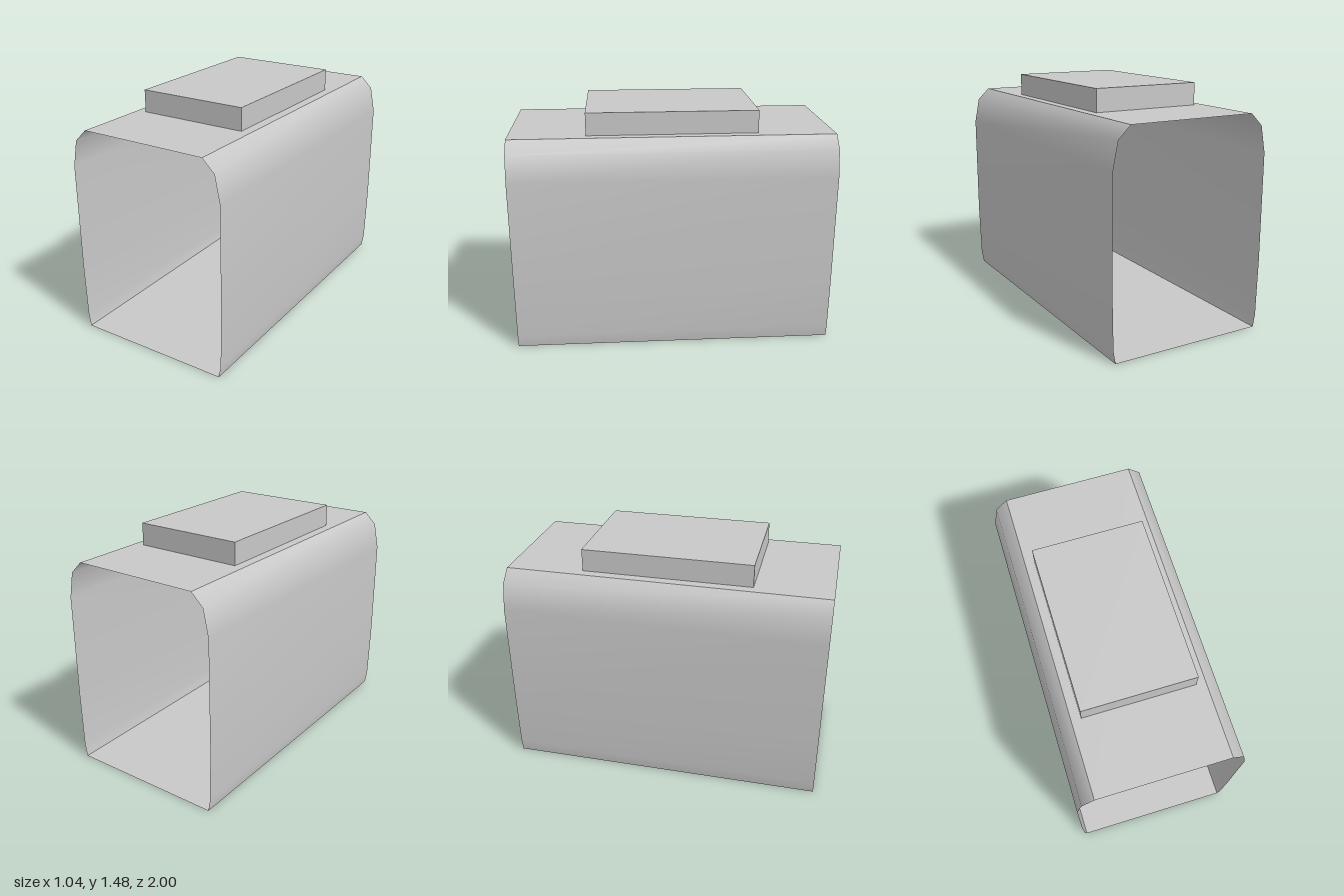
import * as THREE from 'three';

const LENGTH = 2;
const HEIGHT = 1.34;

// Side wall cross-section, top to bottom: [half width, height]
const PROFILE = [
  [0.41, HEIGHT], [0.487, 1.265], [0.52, 1.1], [0.52, 0.43], [0.512, 0.08], [0.498, 0],
];

export function createModel() {
  const model = new THREE.Group();
  model.name = 'openSleeve';

  const grey = new THREE.MeshStandardMaterial({ color: 0xc8c8c8, side: THREE.DoubleSide });
  grey.name = 'light grey';

  const add = (name, geometry, y = 0) => {
    const mesh = new THREE.Mesh(geometry, grey);
    mesh.name = name;
    mesh.position.y = y;
    model.add(mesh);
    return mesh;
  };

  // Curved side walls: a plane whose rows follow the profile
  const wall = new THREE.PlaneGeometry(LENGTH, 1, 1, PROFILE.length - 1);
  wall.rotateY(Math.PI / 2);
  const pos = wall.attributes.position;
  for (let i = 0; i < pos.count; i++) {
    const [x, y] = PROFILE[Math.floor(i / 2)];
    pos.setXYZ(i, x, y, pos.getZ(i));
  }
  wall.computeVertexNormals();
  add('leftWall', wall);
  add('rightWall', wall).rotation.y = Math.PI;

  // Flat roof and floor; both ends stay open
  const roofWidth = 2 * PROFILE[0][0];
  const floorWidth = 2 * PROFILE[PROFILE.length - 1][0];
  add('roof', new THREE.PlaneGeometry(roofWidth, LENGTH).rotateX(-Math.PI / 2), HEIGHT);
  add('floor', new THREE.PlaneGeometry(floorWidth, LENGTH).rotateX(Math.PI / 2));

  // Raised block on the roof
  add('topBlock', new THREE.BoxGeometry(0.7, 0.14, 1.055), HEIGHT + 0.07);

  return model;
}
